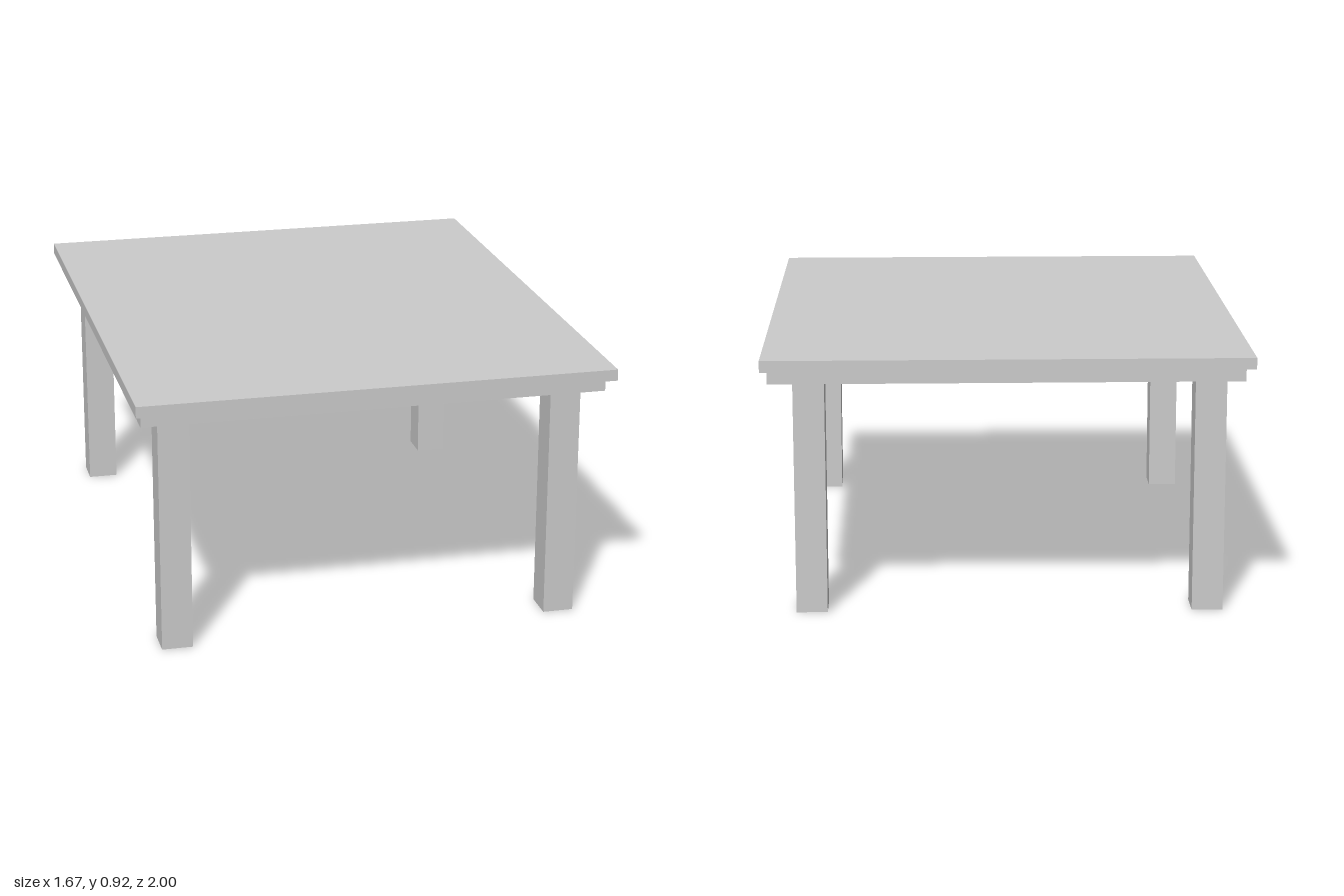
import * as THREE from 'three';

export function createModel() {
  const table = new THREE.Group();
  table.name = 'table';
  const material = new THREE.MeshStandardMaterial({ color: 0xcccccc, flatShading: true });

  // Box given by its extents along each axis
  function addBox(name, [x0, x1], [y0, y1], [z0, z1]) {
    const mesh = new THREE.Mesh(new THREE.BoxGeometry(x1 - x0, y1 - y0, z1 - z0), material);
    mesh.position.set((x0 + x1) / 2, (y0 + y1) / 2, (z0 + z1) / 2);
    mesh.name = name;
    table.add(mesh);
  }

  const underside = 0.882;
  addBox('tabletop', [-0.835, 0.835], [underside, 0.922], [-1, 1]);

  // Thin apron rails: the front one caps the sides, the back one sits between them
  const apronY = [0.825, underside];
  addBox('frontRail', [-0.81, 0.815], apronY, [0.915, 0.935]);
  addBox('backRail', [-0.79, 0.795], apronY, [-0.925, -0.905]);
  addBox('leftRail', [0.795, 0.815], apronY, [-0.925, 0.915]);
  addBox('rightRail', [-0.81, -0.79], apronY, [-0.925, 0.915]);

  // Square legs, running up to the underside of the top
  const legs = [
    ['frontLeftLeg', 0.678, 0.859],
    ['frontRightLeg', -0.697, 0.859],
    ['backLeftLeg', 0.678, -0.812],
    ['backRightLeg', -0.697, -0.823],
  ];
  for (const [name, x, z] of legs) {
    addBox(name, [x - 0.054, x + 0.054], [0, underside], [z - 0.057, z + 0.057]);
  }

  return table;
}
